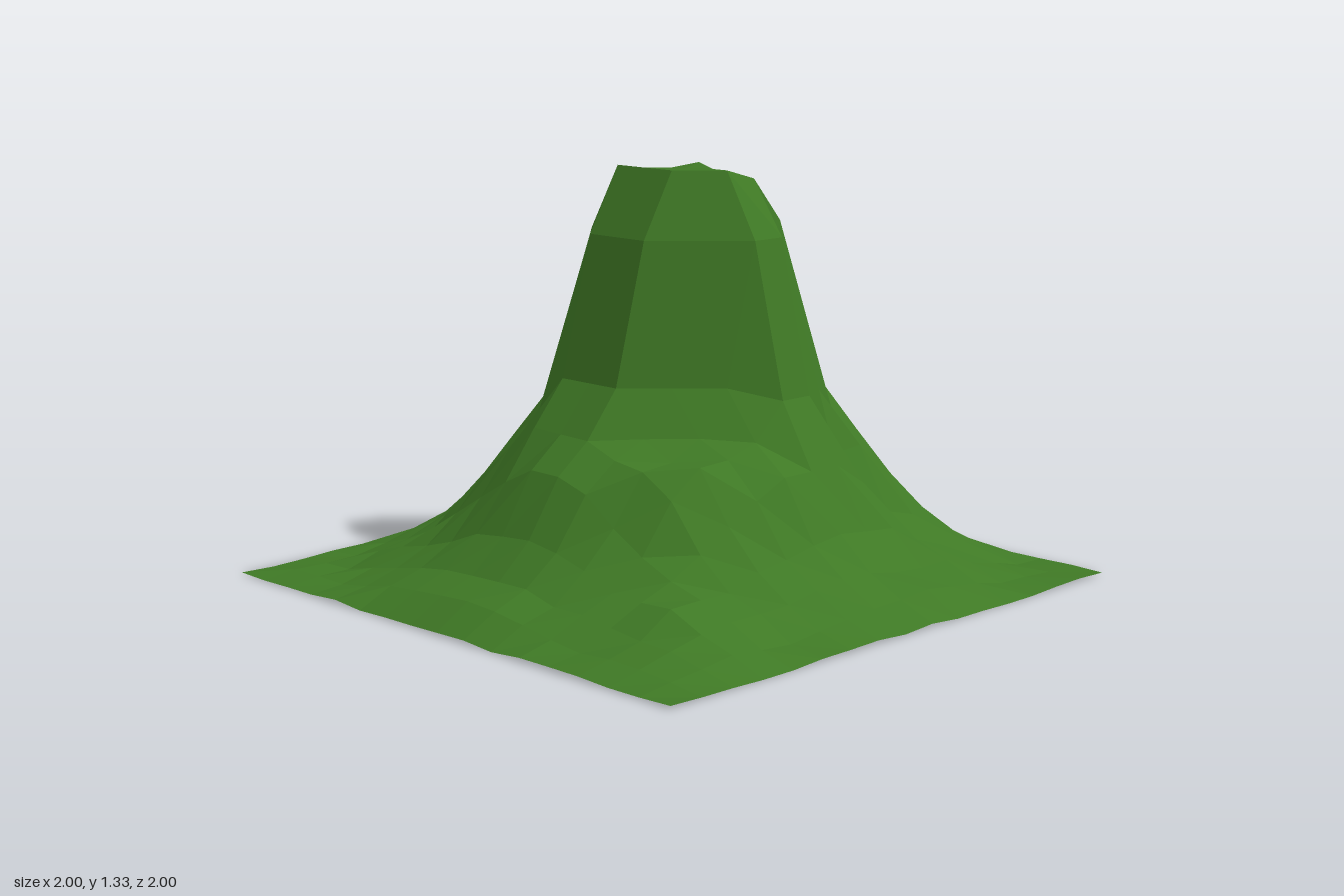
import * as THREE from 'three';

const CELLS = 16, STEP = 2 / CELLS;

// Summit cells as [x, z, height], in grid steps from the middle
const SUMMIT = [
  [0, 0, 1.335], [0, -1, 1.335], [0, -2, 1.335],
  [1, 1, 1.335], [1, 0, 1.335], [1, -1, 1.3], [1, -2, 1.3],
  [2, 1, 1.3], [2, 0, 1.3], [2, -1, 1.335],
];

// Slope profile below the tower: [distance from the axis, height]
const SLOPE = [
  [0.4, 0.6], [0.46, 0.53], [0.5, 0.5], [0.57, 0.42],
  [0.69, 0.23], [0.81, 0.12], [0.93, 0.075], [1.05, 0.02], [2, 0.01],
];

// Broad swellings and hollows on the slopes: [x, z, height, spread]
const SWELLS = [
  [0.52, -0.6, 0.12, 0.02],   // back shoulder
  [-0.36, 0.4, 0.05, 0.02],   // front terrace
  [-0.62, 0.66, 0.07, 0.05],  // front foothill
  [0.48, 0.48, -0.06, 0.01],  // front gully
];

function slopeHeight(r) {
  if (r <= SLOPE[0][0]) return SLOPE[0][1];
  for (let i = 1; i < SLOPE.length; i++) {
    const [r0, h0] = SLOPE[i - 1], [r1, h1] = SLOPE[i];
    if (r <= r1) return THREE.MathUtils.mapLinear(r, r0, r1, h0, h1);
  }
  return 0.01;
}

// Repeatable roughness in -1..1 for one grid point
function rough(i, j) {
  const s = Math.sin(i * 12.9898 + j * 78.233) * 43758.5453;
  return 2 * (s - Math.floor(s)) - 1;
}

function heightAt(i, j) {
  // Flat top, then three steep steps down the tower
  let steps = Infinity;
  for (const [a, b, h] of SUMMIT) {
    const d = Math.abs(i - a) + Math.abs(j - b);
    if (d === 0) return h;
    steps = Math.min(steps, d);
  }
  if (steps === 1) return i > 2 ? 1.155 : 1.12;
  if (steps === 2) return i > 3 ? 0.68 : j > 2 ? 0.62 : 0.66;
  if (steps === 3) return j < -4 || j > 3 || (i > 2 && j > 2) ? 0.41 : 0.51 + 0.015 * rough(i, j);

  // Border of the ground
  const half = CELLS / 2;
  if (Math.abs(i) === half || Math.abs(j) === half) return 0.01 + 0.006 * rough(i, j);

  // Oval lower slopes, slightly longer in x
  const x = i * STEP, z = j * STEP;
  let h = slopeHeight(Math.hypot((x - 0.125) / 1.09, z + 0.06));
  for (const [sx, sz, rise, spread] of SWELLS) {
    h += rise * Math.exp(-((x - sx) ** 2 + (z - sz) ** 2) / spread);
  }
  // Ledge round the foot of the tower
  if (steps === 4) h = Math.min(h, i < 3 ? 0.46 : 0.5);
  // Steeper last step on the +x side
  if (i === half - 1) h *= 0.8;
  return Math.max(0.004, h + rough(i, j) * Math.min(0.012, 0.12 * h));
}

export function createModel() {
  const group = new THREE.Group();
  group.name = 'mountain';

  const grass = new THREE.MeshStandardMaterial({ color: 0x3f7925, side: THREE.DoubleSide });
  grass.name = 'grass green';

  // Open terrain sheet, turned so cell diagonals run from -x -z to +x +z
  let sheet = new THREE.PlaneGeometry(2, 2, CELLS, CELLS);
  sheet.rotateX(-Math.PI / 2).rotateY(Math.PI / 2);
  const p = sheet.attributes.position;
  for (let k = 0; k < p.count; k++) {
    p.setY(k, heightAt(Math.round(p.getX(k) / STEP), Math.round(p.getZ(k) / STEP)));
  }
  // Faceted normals
  sheet = sheet.toNonIndexed();
  sheet.computeVertexNormals();

  const terrain = new THREE.Mesh(sheet, grass);
  terrain.name = 'terrain';
  group.add(terrain);
  return group;
}
